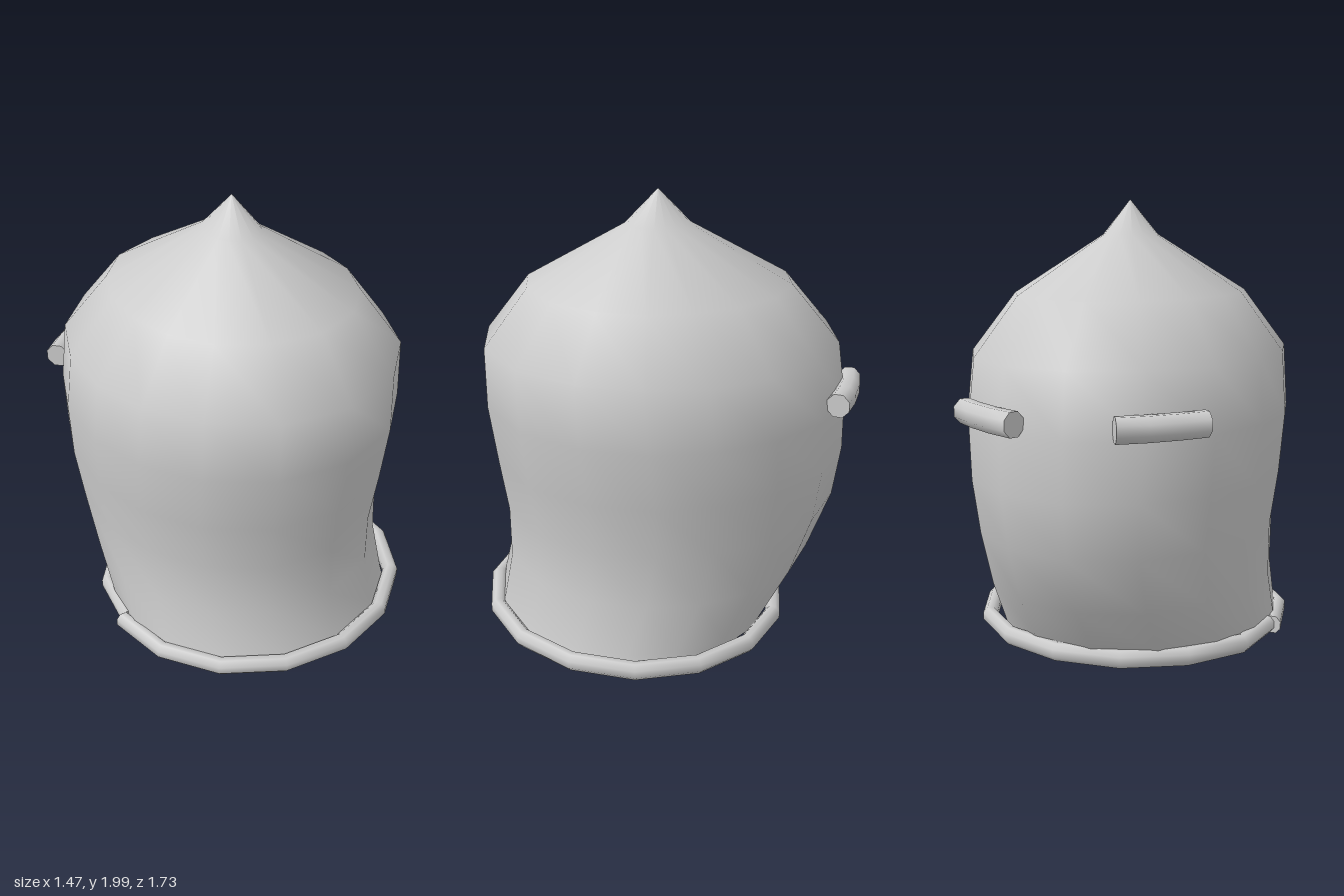
import * as THREE from 'three';

const material = new THREE.MeshStandardMaterial({ color: 0xcccccc, side: THREE.DoubleSide });

// Skin a list of equal-length closed loops of Vector3, optionally capping both ends
function loft(loops, capped = false) {
  const n = loops[0].length, pos = [], index = [];
  loops.forEach(loop => loop.forEach(p => pos.push(p.x, p.y, p.z)));
  for (let i = 0; i < loops.length - 1; i++) {
    for (let j = 0; j < n; j++) {
      const a = i * n + j, b = i * n + (j + 1) % n;
      index.push(a, b, a + n, b, b + n, a + n);
    }
  }
  if (capped) {
    [loops[0], loops[loops.length - 1]].forEach((loop, end) => {
      const start = pos.length / 3;
      loop.forEach(p => pos.push(p.x, p.y, p.z));
      for (let j = 1; j < n - 1; j++) {
        if (end) index.push(start, start + j, start + j + 1);
        else index.push(start, start + j + 1, start + j);
      }
    });
  }
  const geo = new THREE.BufferGeometry();
  geo.setAttribute('position', new THREE.Float32BufferAttribute(pos, 3));
  geo.setIndex(index);
  geo.computeVertexNormals();
  return geo;
}

function addMesh(parent, geometry, name) {
  const mesh = new THREE.Mesh(geometry, material);
  mesh.name = name;
  parent.add(mesh);
  return mesh;
}

// Rounded eight-sided section, w across (along the outward direction) and h high
function section(center, outward, w, h) {
  const loop = [];
  for (let k = 0; k < 8; k++) {
    const a = (k + 0.5) * Math.PI / 4;
    const p = center.clone().addScaledVector(outward, Math.cos(a) * w / 2 / 0.924);
    p.y += Math.sin(a) * h / 2 / 0.924;
    loop.push(p);
  }
  return loop;
}

// Helmet shell: [y front, y back, half width, z front, z back]
const SHELL = [
  [0.07, 0.04, 0.665, 0.815, -0.47],
  [0.12, 0.09, 0.66, 0.80, -0.51],
  [0.34, 0.30, 0.652, 0.755, -0.68],
  [0.58, 0.56, 0.665, 0.755, -0.80],
  [0.82, 0.80, 0.70, 0.79, -0.835],
  [1.09, 1.05, 0.72, 0.825, -0.83],
  [1.36, 1.32, 0.70, 0.825, -0.79],
  [1.61, 1.58, 0.51, 0.63, -0.57],
  [1.85, 1.845, 0.12, 0.19, -0.11],
  [2.0, 2.0, 0.001, 0.041, 0.039],
];

function shellLoop([yf, yb, half, zf, zb]) {
  const zc = (zf + zb) / 2 + (zf - zb) * 0.02;
  return Array.from({ length: 16 }, (_, j) => {
    const t = j * Math.PI / 8;
    const a = t + 0.07 * Math.sin(2 * t);
    const c = Math.cos(a);
    const z = zc + c * (c > 0 ? zf - zc : zc - zb);
    const y = yb + (yf - yb) * (z - zb) / (zf - zb);
    return new THREE.Vector3(-0.02 + half * Math.sin(a), y, z);
  });
}

export function createModel() {
  const model = new THREE.Group();
  model.name = 'helmet';

  addMesh(model, loft(SHELL.map(shellLoop)), 'helmetShell');

  // Rolled rim, its two ends lapping on one side
  const rim = [];
  for (let i = 0; i <= 15; i++) {
    const a = THREE.MathUtils.degToRad(-96 + i * 24);
    const lap = i === 15 ? -0.03 : 0;
    const z = 0.165 + (0.67 + lap) * Math.cos(a);
    const center = new THREE.Vector3((0.70 + lap) * Math.sin(a), 0.066 + 0.026 * z, z);
    rim.push(section(center, new THREE.Vector3(Math.sin(a), 0, Math.cos(a)), 0.068, 0.078));
  }
  addMesh(model, loft(rim, true), 'rim');

  // Pair of short curved lugs on the back
  const path = [[0.21, -0.815], [0.325, -0.755], [0.435, -0.68], [0.525, -0.605]];
  for (const side of [1, -1]) {
    const loops = path.map(([x, z], i) => {
      const p = path[Math.max(i - 1, 0)], q = path[Math.min(i + 1, 3)];
      const out = new THREE.Vector3((q[1] - p[1]) * side, 0, -(q[0] - p[0])).normalize();
      return section(new THREE.Vector3(-0.02 + x * side, 1.11 + (z + 0.72) * 0.05, z), out, 0.1, 0.105);
    });
    if (side > 0) loops.reverse();
    addMesh(model, loft(loops, true), side > 0 ? 'leftBackLug' : 'rightBackLug');
  }
  return model;
}
